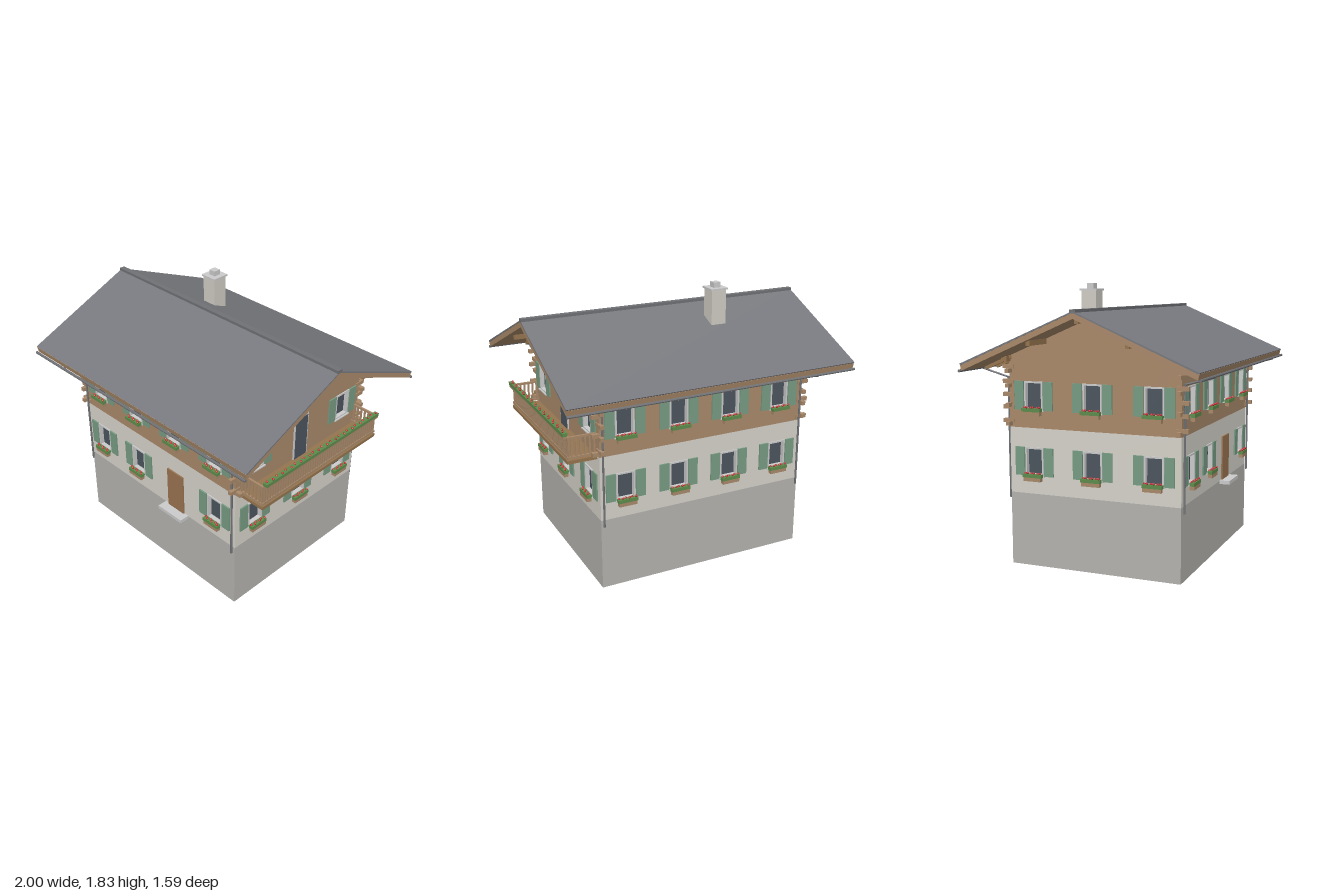
import * as THREE from 'three';

const mat = (color, side = THREE.FrontSide) =>
  new THREE.MeshStandardMaterial({ color, side, flatShading: true });
const WOOD = mat(0xa9896a), DARKWOOD = mat(0x96754f), WOODWALL = mat(0xa9896a, THREE.DoubleSide);
const STONE = mat(0xb4b3af, THREE.DoubleSide), PLASTER = mat(0xd6d3ca, THREE.DoubleSide);
const FRAME = mat(0xcfcfcc), GLASS = mat(0x4c555e, THREE.DoubleSide), SHUTTER = mat(0x779c83);
const ROOF = mat(0x77797e), METAL = mat(0x6f7175), LEAF = mat(0x5d8c4c), RED = mat(0xc43238);

const HX = 0.73, HZ = 0.585;            // half extents of the walls
const Y1 = 0.48, Y2 = 0.91;             // plinth top, plaster top
const SLOPE = 0.424, RIDGE = 1.66, EAVE = 0.778;
const roofY = z => RIDGE - SLOPE * Math.abs(z);
const WIN_W = 0.13, WIN_H = 0.185, LOW = 0.6, HIGH = 1.025;

function add(parent, name, geo, material) {
  const m = new THREE.Mesh(geo, material);
  m.name = name;
  parent.add(m);
  return m;
}
function box(parent, name, material, w, h, d, x, y, z) {
  const m = add(parent, name, new THREE.BoxGeometry(w, h, d), material);
  m.position.set(x, y, z);
  return m;
}
function rod(parent, name, material, a, b, r) {
  const p = new THREE.Vector3(...a), q = new THREE.Vector3(...b);
  const m = add(parent, name, new THREE.CylinderGeometry(r, r, p.distanceTo(q), 8), material);
  m.position.copy(p).add(q).multiplyScalar(0.5);
  m.quaternion.setFromUnitVectors(new THREE.Vector3(0, 1, 0), q.sub(p).normalize());
}
const poly = pts => new THREE.Shape(pts.map(p => new THREE.Vector2(...p)));
const rect = (x0, y0, x1, y1) => [[x0, y0], [x1, y0], [x1, y1], [x0, y1]];

// Row of greenery with small blossoms along x
function flowers(parent, width, count, y, z) {
  box(parent, 'greenery', LEAF, width, 0.022, 0.032, 0, y, z);
  const geo = new THREE.IcosahedronGeometry(0.0085, 0);
  for (let i = 0; i < count; i++) {
    const x = ((i + 0.5) / count - 0.5) * width;
    add(parent, 'blossom', geo, RED).position.set(x, y + 0.014 + (i % 2) * 0.004, z + (i % 2 ? 0.007 : -0.005));
  }
}

// Recessed window with shutters and an optional flower box
function windowUnit(parent, x, y, planter) {
  const g = new THREE.Group();
  g.name = 'window';
  g.position.set(x, y, 0);
  parent.add(g);
  const w = WIN_W / 2, t = 0.011;
  const ring = poly(rect(-w, 0, w, WIN_H));
  ring.holes.push(poly(rect(-w + t, t, w - t, WIN_H - t)));
  const geo = new THREE.ExtrudeGeometry(ring, { depth: 0.042, bevelEnabled: false });
  add(g, 'windowFrame', geo.translate(0, 0, -0.034), FRAME);
  add(g, 'windowGlass', new THREE.PlaneGeometry(WIN_W, WIN_H), GLASS).position.set(0, WIN_H / 2, -0.022);
  box(g, 'windowSill', FRAME, 0.145, 0.008, 0.018, 0, -0.002, 0.009);
  for (const s of [-1, 1]) box(g, 'shutter', SHUTTER, 0.066, WIN_H, 0.01, s * 0.102, WIN_H / 2, 0.006);
  if (planter) {
    box(g, 'flowerBox', WOOD, 0.122, 0.028, 0.03, 0, -0.016, 0.031);
    flowers(g, 0.132, 6, 0.005, 0.031);
  }
}

// One side of the house: plinth, plaster and timber bands with window openings
function wall(root, name, angle, dist, half, low, high, gable, highPlanters = true) {
  const g = new THREE.Group();
  g.name = name;
  g.rotation.y = angle;
  g.position.set(Math.sin(angle) * dist, 0, Math.cos(angle) * dist);
  root.add(g);
  const band = (label, pts, xs, y, m) => {
    const s = poly(pts);
    for (const x of xs) s.holes.push(poly(rect(x - WIN_W / 2, y, x + WIN_W / 2, y + WIN_H)));
    add(g, label, new THREE.ShapeGeometry(s), m);
  };
  band('plinth', rect(-half, 0, half, Y1), [], 0, STONE);
  band('plasterWall', rect(-half, Y1, half, Y2), low, LOW, PLASTER);
  const top = roofY(HZ) - 0.03;
  const upper = rect(-half, Y2, half, top);
  if (gable) upper.splice(3, 0, [0, RIDGE - 0.03]);
  band('timberWall', upper, high, HIGH, WOODWALL);
  low.forEach(x => windowUnit(g, x, LOW, true));
  high.forEach(x => windowUnit(g, x, HIGH, highPlanters));
  return g;
}

function roof(root) {
  const g = new THREE.Group();
  g.name = 'roof';
  root.add(g);
  // Chevron cross-section between two heights under the roof line, run along x
  const layer = (name, hi, lo, len, e, m) => {
    const s = poly([[-e, roofY(e) + hi], [-e + 0.008, roofY(e) + lo], [0, RIDGE + lo],
      [e - 0.008, roofY(e) + lo], [e, roofY(e) + hi], [0, RIDGE + hi]]);
    const geo = new THREE.ExtrudeGeometry(s, { depth: len, bevelEnabled: false });
    add(g, name, geo.translate(0, 0, -len / 2).rotateY(Math.PI / 2), m);
  };
  layer('roofCovering', 0.003, -0.006, 2, EAVE + 0.004, ROOF);
  layer('roofBoards', -0.006, -0.042, 1.994, EAVE, WOOD);
  box(g, 'ridgeCap', METAL, 2, 0.022, 0.038, 0, 1.662, 0);
  // Purlins carrying the overhang
  for (const z of [-0.325, 0, 0.325])
    box(g, 'purlin', DARKWOOD, 1.9, 0.034, 0.026, 0, roofY(z) - 0.055, z);
  for (const s of [-1, 1]) {
    box(g, 'eavePurlin', DARKWOOD, 1.56, 0.035, 0.04, 0, 1.35, s * 0.595);
    // Rafter tails
    for (let i = 0; i < 12; i++) {
      const r = box(g, 'rafter', DARKWOOD, 0.018, 0.026, 0.2, -0.735 + i * 0.1336, roofY(0.66) - 0.054, s * 0.66);
      r.rotation.x = s * Math.atan(SLOPE);
    }
    // Gutter and downpipes
    const gz = s * 0.785;
    rod(g, 'gutter', METAL, [-1, 1.287, gz], [1, 1.287, gz], 0.009);
    for (const x of [-0.713, 0.713]) {
      rod(g, 'downpipe', METAL, [x, 1.28, gz], [x, 1.23, s * 0.6], 0.006);
      rod(g, 'downpipe', METAL, [x, 1.235, s * 0.6], [x, 0.44, s * 0.6], 0.007);
    }
  }
  // Chimney
  box(g, 'chimneyStack', mat(0xd0cdc4), 0.105, 0.28, 0.105, -0.267, 1.64, -0.213);
  box(g, 'chimneyCap', FRAME, 0.122, 0.012, 0.122, -0.267, 1.785, -0.213);
  box(g, 'chimneyPot', FRAME, 0.05, 0.035, 0.05, -0.267, 1.808, -0.213);
}

// Interlocking log ends at the four corners
function logEnds(root) {
  for (const sx of [-1, 1]) for (const sz of [-1, 1]) {
    for (const y of [0.95, 1.04, 1.12, 1.205, 1.3])
      box(root, 'logEnd', WOOD, 0.026, 0.026, 0.08, sx * (HX - 0.006), y, sz * (HZ + 0.005));
    for (const y of [0.935, 1.055, 1.18, 1.275])
      box(root, 'logEnd', WOOD, 0.08, 0.026, 0.026, sx * (HX + 0.005), y, sz * (HZ - 0.006));
  }
}

function balcony(parent) {
  const g = new THREE.Group();
  g.name = 'balcony';
  parent.add(g);
  const W = 1.1, D = 0.19;
  box(g, 'balconyFloor', DARKWOOD, W, 0.022, D + 0.005, 0, 0.9, D / 2);
  box(g, 'topRail', WOOD, W, 0.034, 0.014, 0, 1.047, D - 0.01);
  box(g, 'bottomRail', WOOD, W, 0.014, 0.014, 0, 0.928, D - 0.01);
  for (let i = 0; i < 48; i++)
    box(g, 'baluster', WOOD, 0.013, 0.13, 0.008, -0.541 + i * 1.082 / 47, 0.975, D - 0.01);
  for (const s of [-1, 1]) {
    const x = s * (W / 2 - 0.007);
    box(g, 'sideTopRail', WOOD, 0.014, 0.014, D, x, 1.057, D / 2);
    box(g, 'sideBottomRail', WOOD, 0.014, 0.014, D, x, 0.928, D / 2);
    for (let i = 0; i < 6; i++)
      box(g, 'sideBaluster', WOOD, 0.008, 0.13, 0.012, x, 0.985, 0.015 + i * 0.029);
  }
  const trough = new THREE.Group();
  trough.name = 'balconyFlowers';
  trough.position.set(0, 0, D + 0.008);
  g.add(trough);
  box(trough, 'flowerTrough', WOOD, 1.08, 0.016, 0.026, 0, 1.06, 0);
  flowers(trough, 1.08, 26, 1.078, 0);
}

export function createModel() {
  const root = new THREE.Group();
  root.name = 'chalet';
  const four = [-0.56, -0.19, 0.18, 0.55], three = [-0.41, 0, 0.41], two = [-0.41, 0.41];
  const front = wall(root, 'frontWall', 0, HZ, HX, [-0.56, -0.19, 0.55], four, false);
  wall(root, 'backWall', Math.PI, HZ, HX, four, four, false);
  const side = wall(root, 'balconyWall', Math.PI / 2, HX, HZ, three, two, true, false);
  wall(root, 'plainGableWall', -Math.PI / 2, HX, HZ, three, three, true);

  // Entrance
  box(front, 'frontDoor', mat(0x9a7450), 0.15, 0.305, 0.02, 0.183, 0.633, 0);
  box(front, 'doorStep', FRAME, 0.22, 0.025, 0.07, 0.185, 0.472, 0.035);
  // Balcony door
  box(side, 'balconyDoorFrame', FRAME, 0.13, 0.315, 0.016, 0, 1.068, 0);
  box(side, 'balconyDoorGlass', GLASS, 0.11, 0.3, 0.022, 0, 1.063, 0);

  balcony(side);
  logEnds(root);
  roof(root);
  return root;
}
